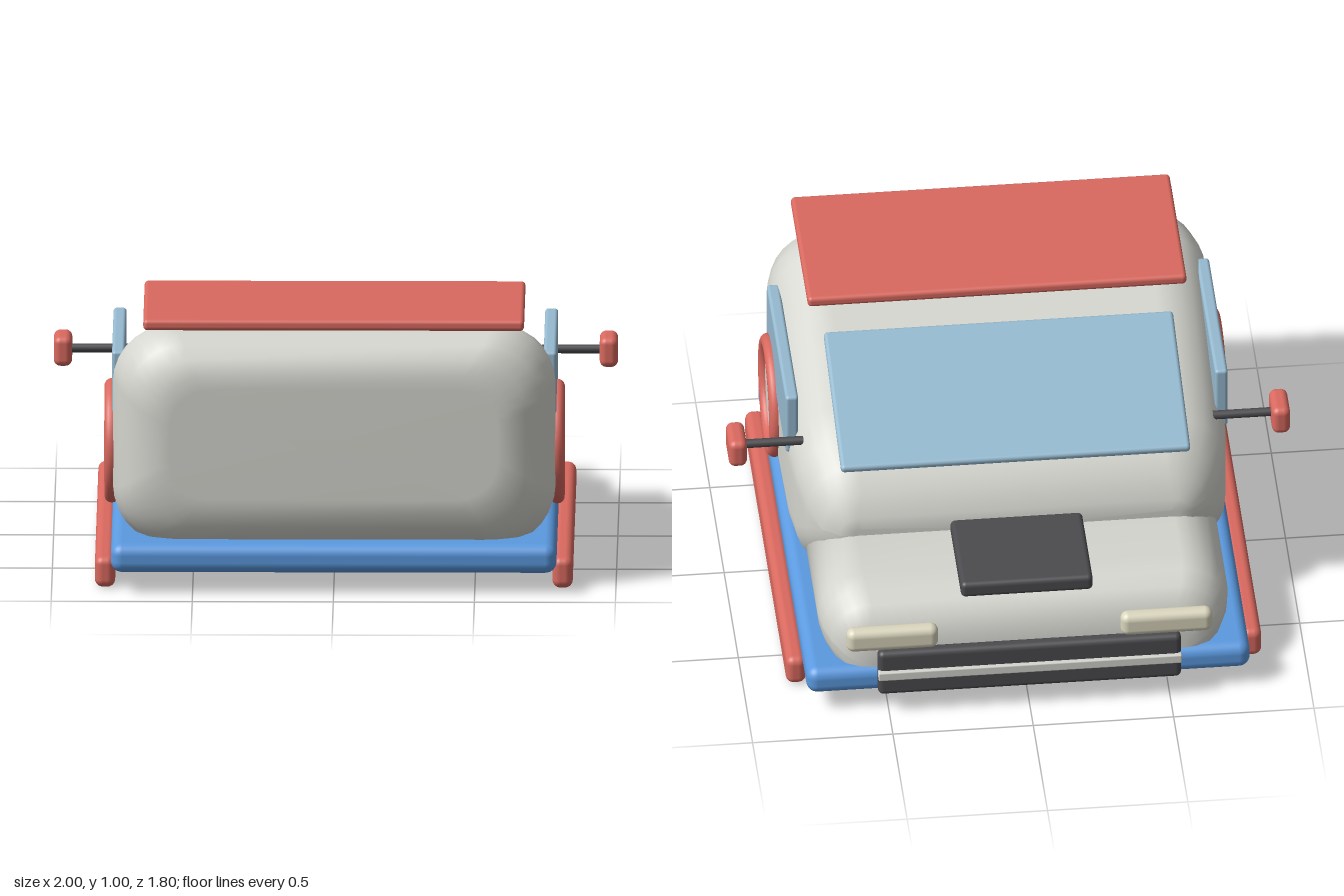
import * as THREE from 'three';
import { RoundedBoxGeometry } from 'three/addons/geometries/RoundedBoxGeometry.js';

const paint = (name, color) => {
  const m = new THREE.MeshStandardMaterial({ color });
  m.name = name;
  return m;
};

// Closed loft of rounded rectangles; rows are [z, halfWidth, bottom, top, cornerRadius], from +z to -z
function loft(rows) {
  const steps = 7, n = 4 * (steps + 1), pos = [], idx = [];
  for (const [z, w, y0, y1, r] of rows) {
    const corners = [[w - r, y1 - r], [r - w, y1 - r], [r - w, y0 + r], [w - r, y0 + r]];
    corners.forEach(([cx, cy], q) => {
      for (let s = 0; s <= steps; s++) {
        const a = (q + s / steps) * Math.PI / 2;
        pos.push(cx + r * Math.cos(a), cy + r * Math.sin(a), z);
      }
    });
  }
  for (let i = 0; i < rows.length - 1; i++) {
    for (let j = 0; j < n; j++) {
      const a = i * n + j, b = i * n + (j + 1) % n;
      idx.push(a, a + n, b, b, a + n, b + n);
    }
  }
  // end caps
  const last = (rows.length - 1) * n, c0 = rows.length * n;
  for (const [z, , y0, y1] of [rows[0], rows[rows.length - 1]]) pos.push(0, (y0 + y1) / 2, z);
  for (let j = 0; j < n; j++) {
    const k = (j + 1) % n;
    idx.push(c0, j, k, c0 + 1, last + k, last + j);
  }
  const g = new THREE.BufferGeometry();
  g.setAttribute('position', new THREE.Float32BufferAttribute(pos, 3));
  g.setIndex(idx);
  g.computeVertexNormals();
  return g;
}

export function createModel() {
  const model = new THREE.Group();
  const body = paint('body grey', 0xd5d5cf);
  const red = paint('trim red', 0xd9695f);
  const blue = paint('chassis blue', 0x5b9ae0);
  const glass = paint('glass blue', 0x96bad0);
  const dark = paint('dark grey', 0x4b4b4f);
  const cream = paint('lamp cream', 0xdad6be);

  const add = (name, geometry, material, x = 0, y = 0, z = 0) => {
    const mesh = new THREE.Mesh(geometry, material);
    mesh.name = name;
    mesh.position.set(x, y, z);
    model.add(mesh);
    return mesh;
  };
  // Rounded box given by its extents on each axis
  const box = (name, material, [x0, x1], [y0, y1], [z0, z1], r) =>
    add(name, new RoundedBoxGeometry(x1 - x0, y1 - y0, z1 - z0, 4, r), material,
      (x0 + x1) / 2, (y0 + y1) / 2, (z0 + z1) / 2);

  // Chassis
  box('chassis', blue, [-0.79, 0.79], [0.075, 0.18], [-0.85, 0.9], 0.04);

  // Cabin, sloping down towards the hood
  add('cabin', loft([
    [0.87, 0.58, 0.34, 0.74, 0.14],
    [0.868, 0.62, 0.3, 0.79, 0.16],
    [0.85, 0.68, 0.235, 0.845, 0.19],
    [0.81, 0.73, 0.185, 0.89, 0.2],
    [0.76, 0.76, 0.15, 0.923, 0.21],
    [0.68, 0.78, 0.13, 0.93, 0.21],
    [0.62, 0.785, 0.13, 0.918, 0.21],
    [0.3, 0.785, 0.13, 0.842, 0.21],
    [-0.06, 0.78, 0.13, 0.756, 0.21],
    [-0.2, 0.765, 0.145, 0.72, 0.2],
    [-0.29, 0.735, 0.21, 0.665, 0.19],
    [-0.36, 0.69, 0.295, 0.59, 0.145],
    [-0.4, 0.63, 0.37, 0.51, 0.069],
    [-0.408, 0.58, 0.405, 0.47, 0.03],
  ]), body);

  // Hood
  add('hood', loft([
    [-0.15, 0.73, 0.1, 0.44, 0.165],
    [-0.63, 0.73, 0.1, 0.44, 0.165],
    [-0.7, 0.72, 0.1, 0.428, 0.16],
    [-0.76, 0.695, 0.1, 0.398, 0.145],
    [-0.805, 0.655, 0.1, 0.345, 0.12],
    [-0.825, 0.6, 0.1, 0.28, 0.085],
    [-0.83, 0.55, 0.1, 0.22, 0.055],
  ]), body);
  box('hoodScoop', dark, [-0.235, 0.235], [0.42, 0.482], [-0.785, -0.395], 0.018);

  // Roof board and tilted windscreen
  box('roofPanel', red, [-0.675, 0.675], [0.955, 0.995], [0.262, 0.87], 0.015);
  const screen = add('windscreen', new RoundedBoxGeometry(1.245, 0.032, 0.638, 3, 0.014),
    glass, 0, 0.787, -0.077);
  screen.rotation.x = -0.222;

  // Bumper and its bright strip
  box('bumper', dark, [-0.54, 0.54], [0.085, 0.27], [-0.885, -0.835], 0.02);
  box('bumperStrip', body, [-0.54, 0.54], [0.16, 0.195], [-0.9, -0.87], 0.005);

  // Parts on both sides
  for (const s of [1, -1]) {
    const side = s > 0 ? 'left' : 'right';
    const span = (a, b) => (s > 0 ? [a, b] : [-b, -a]);
    box(side + 'Skirt', red, span(0.775, 0.847), [0, 0.112], [-0.68, 0.8], 0.028);
    box(side + 'Window', glass, span(0.742, 0.788), [0.57, 0.815], [-0.07, 0.6], 0.012);
    box(side + 'Headlight', cream, span(0.325, 0.652), [0.28, 0.372], [-0.89, -0.83], 0.028);

    // Round side ring with its disc
    const ring = add(side + 'WheelRing', new THREE.TorusGeometry(0.195, 0.026, 14, 56),
      red, s * 0.79, 0.45, 0.43);
    ring.rotation.y = Math.PI / 2;
    const disc = add(side + 'WheelDisc', new THREE.CylinderGeometry(0.18, 0.18, 0.035, 48),
      body, s * 0.776, 0.45, 0.43);
    disc.rotation.z = Math.PI / 2;

    // Wing mirror on its arm
    const arm = add(side + 'MirrorArm', new THREE.CylinderGeometry(0.016, 0.016, 0.22, 16),
      dark, s * 0.84, 0.655, -0.113);
    arm.rotation.z = Math.PI / 2;
    box(side + 'Mirror', red, span(0.935, 1), [0.602, 0.71], [-0.185, -0.04], 0.024);
  }
  return model;
}
